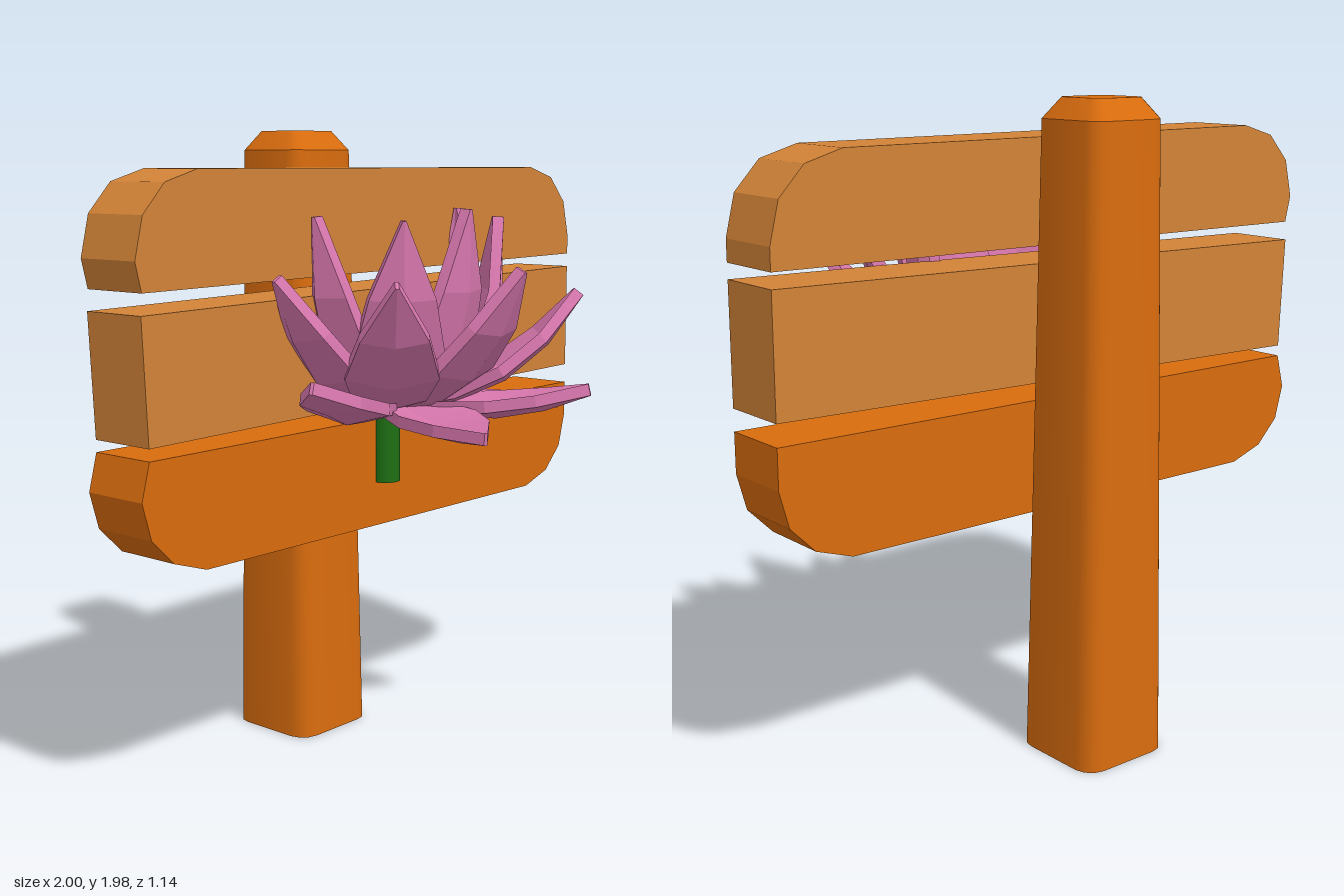
import * as THREE from 'three';
import { toCreasedNormals } from 'three/addons/utils/BufferGeometryUtils.js';

const mat = (name, color) => {
  const m = new THREE.MeshStandardMaterial({ color });
  m.name = name;
  return m;
};

// Closed solid through rings that run anticlockwise about the loft direction
function loft(rings, crease) {
  const n = rings[0].length, last = (rings.length - 1) * n, index = [];
  for (let i = 0; i < rings.length - 1; i++) {
    for (let k = 0; k < n; k++) {
      const a = i * n + k, b = i * n + (k + 1) % n;
      index.push(a, b, a + n, b, b + n, a + n);
    }
  }
  for (let k = 1; k < n - 1; k++) index.push(0, k + 1, k, last, last + k, last + k + 1);
  const geo = new THREE.BufferGeometry().setFromPoints(rings.flat());
  geo.setIndex(index);
  return toCreasedNormals(geo, crease);
}

// Rounded square ring for the post
function postRing(y, half, radius) {
  const ring = [], c = half - radius;
  for (let q = 0; q < 4; q++) {
    const m = Math.PI / 4 + q * Math.PI / 2;
    for (let s = 0; s <= 3; s++) {
      const a = q * Math.PI / 2 + s * Math.PI / 6;
      ring.push(new THREE.Vector3(
        Math.sign(Math.sin(m)) * c + Math.sin(a) * radius, y,
        Math.sign(Math.cos(m)) * c + Math.cos(a) * radius));
    }
  }
  return ring;
}

const AXIS_Z = -0.03; // flower axis; the rear half is trimmed inside the boards

// Thick, slightly cupped petal curving from the flower base to its tip
function petalGeometry([x, y, z], reach, bendY, width) {
  const tipR = Math.hypot(x, z - AXIS_Z);
  const r = new THREE.Vector3(x / tipR, 0, (z - AXIS_Z) / tipR);
  const at = (d, h) => new THREE.Vector3(r.x * d, h, AXIS_Z + r.z * d);
  const spine = new THREE.QuadraticBezierCurve3(at(0.05, 1.14), at(tipR * reach, bendY), at(tipR, y));
  const side = r.clone().cross(new THREE.Vector3(0, 1, 0));
  const rows = [[0, 0.4], [0.25, 0.8], [0.5, 1], [0.75, 0.72], [1, 0.04]];
  const rings = rows.map(([t, w]) => {
    const p = spine.getPoint(t);
    const normal = side.clone().cross(spine.getTangent(t));
    const hw = w * width, cup = 0.035 * w, h = 0.018;
    return [[0, h - cup], [hw, h], [hw, -h], [0, -h - cup], [-hw, -h], [-hw, h]].map(([s, n]) => {
      const v = p.clone().addScaledVector(side, s).addScaledVector(normal, n);
      v.z = Math.max(v.z, -0.05);
      return v;
    });
  });
  return loft(rings, 0.2);
}

export function createModel() {
  const model = new THREE.Group();
  const darkWood = mat('orange wood', 0xd96c0e);
  const lightWood = mat('light wood', 0xd28337);
  const pink = mat('petal pink', 0xd877ae);
  const green = mat('stem green', 0x1f6f14);
  const add = (name, geo, material, parent = model) => {
    const mesh = new THREE.Mesh(geo, material);
    mesh.name = name;
    parent.add(mesh);
    return mesh;
  };

  // Tapered post with a bevelled top
  const post = loft([postRing(0, 0.163, 0.06), postRing(1.915, 0.134, 0.05), postRing(1.975, 0.09, 0.035)], 0.6);
  add('post', post, darkWood).position.z = -0.41;

  // Three boards; the outer ones have rounded far corners
  const board = (name, pts, material) => {
    const shape = new THREE.Shape(pts.map(([x, y]) => new THREE.Vector2(x, y)));
    const geo = new THREE.ExtrudeGeometry(shape, { depth: 0.225, bevelEnabled: false });
    add(name, geo.translate(0, 0, -0.26), material);
  };
  board('topBoard', [[-0.98, 1.535], [1, 1.555], [1, 1.62], [0.97, 1.74], [0.89, 1.825], [0.77, 1.86],
    [-0.77, 1.86], [-0.89, 1.825], [-0.97, 1.74], [-1, 1.62]], lightWood);
  board('middleBoard', [[-0.97, 1.115], [1, 1.155], [1, 1.51], [-0.985, 1.475]], lightWood);
  board('bottomBoard', [[-0.97, 1.08], [-1, 0.97], [-0.97, 0.86], [-0.89, 0.78], [-0.77, 0.74],
    [0.77, 0.74], [0.89, 0.78], [0.97, 0.86], [1, 0.97], [1, 1.09]], darkWood);

  // Flower: stem, seed head with stamens, three whorls of petals
  const flower = new THREE.Group();
  flower.name = 'flower';
  model.add(flower);
  add('stem', new THREE.CylinderGeometry(0.045, 0.045, 0.27, 10), green, flower).position.set(0, 1.015, AXIS_Z);
  add('seedHead', new THREE.CylinderGeometry(0.13, 0.06, 0.2, 8, 1, false, -Math.PI / 2, Math.PI), lightWood, flower)
    .position.set(0, 1.24, AXIS_Z);
  for (let i = 0; i < 10; i++) {
    const pivot = new THREE.Group();
    pivot.name = 'stamen';
    pivot.position.set(0, 1.18, AXIS_Z);
    pivot.rotation.y = (i - 4.5) * Math.PI / 10;
    const stamen = add('filament', new THREE.BoxGeometry(0.02, 0.18, 0.02), lightWood, pivot);
    stamen.position.set(0, 0.06, 0.14);
    stamen.rotation.x = 0.4;
    flower.add(pivot);
  }

  const whorls = [
    { name: 'outerPetal', reach: 0.55, bendY: 1.13, width: 0.13,
      tips: [[-0.58, 1.26, 0.2], [0.585, 1.09, 0.22], [0.255, 1.2, 0.565], [-0.235, 1.11, 0.545]] },
    { name: 'middlePetal', reach: 0.62, bendY: 1.18, width: 0.14,
      tips: [[0, 1.57, 0.49], [-0.38, 1.54, 0.34], [0.4, 1.48, 0.42], [0.54, 1.57, 0], [-0.51, 1.55, 0]] },
    { name: 'innerPetal', reach: 0.9, bendY: 1.2, width: 0.14,
      tips: [[0.02, 1.74, 0.27], [-0.21, 1.71, 0.22], [0.27, 1.71, 0.2], [-0.32, 1.72, -0.02], [0.35, 1.73, -0.02]] },
  ];
  for (const { name, reach, bendY, width, tips } of whorls)
    for (const tip of tips) add(name, petalGeometry(tip, reach, bendY, width), pink, flower);

  return model;
}
